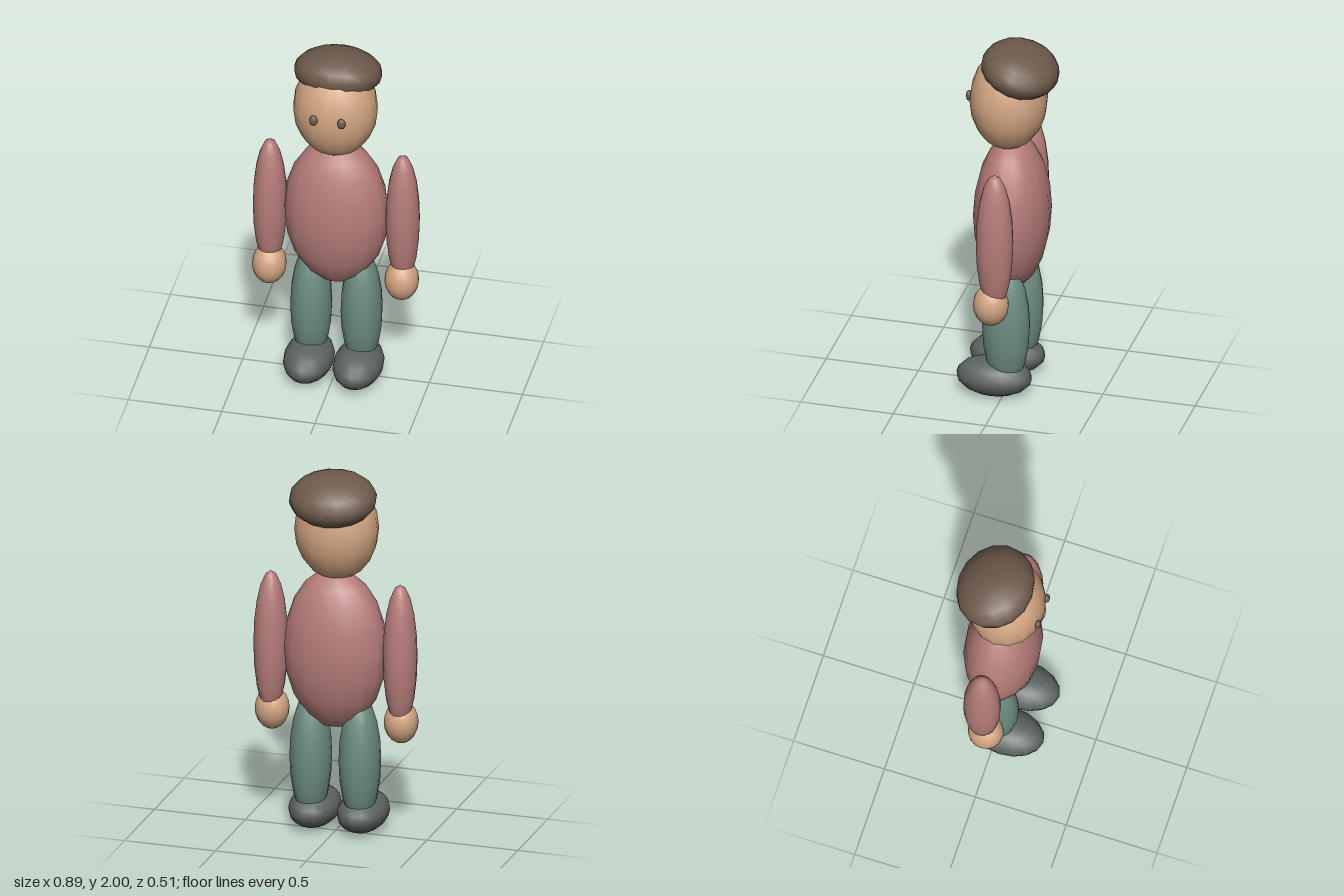
import * as THREE from 'three';

const mat = (color) => new THREE.MeshStandardMaterial({ color });

// Smooth low-poly ellipsoid: centre and three radii
function blob(name, material, [x, y, z], [rx, ry, rz], tilt = 0) {
  const geometry = new THREE.SphereGeometry(1, 16, 10);
  geometry.scale(rx, ry, rz);
  const mesh = new THREE.Mesh(geometry, material);
  mesh.name = name;
  mesh.position.set(x, y, z);
  mesh.rotation.x = tilt;
  return mesh;
}

export function createModel() {
  const model = new THREE.Group();
  model.name = 'figure';

  const skin = mat(0xd2a582);
  const shirt = mat(0xb57d7a);
  const trousers = mat(0x6c8c80);
  const shoe = mat(0x5c6462);
  const hair = mat(0x6e5a4c);
  const eye = mat(0x6e5a4c);

  // Body, head and hair cap sloping down at the back
  model.add(
    blob('torso', shirt, [0, 1.02, -0.01], [0.28, 0.44, 0.2]),
    blob('head', skin, [0, 1.68, 0.01], [0.225, 0.28, 0.205]),
    blob('hair', hair, [0, 1.865, -0.053], [0.235, 0.127, 0.208], -0.25),
  );

  // Paired parts
  for (const [side, s] of [['left', 1], ['right', -1]]) {
    model.add(
      blob(side + 'Eye', eye, [s * 0.075, 1.71, 0.205], [0.022, 0.03, 0.016]),
      blob(side + 'Arm', shirt, [s * 0.356, 1.01, -0.01], [0.09, 0.4, 0.1]),
      blob(side + 'Hand', skin, [s * 0.355, 0.64, 0.01], [0.091, 0.115, 0.095]),
      blob(side + 'Leg', trousers, [s * 0.135, 0.41, -0.012], [0.11, 0.36, 0.128]),
      blob(side + 'Shoe', shoe, [s * 0.133, 0.104, 0.053], [0.132, 0.104, 0.203]),
    );
  }
  return model;
}
